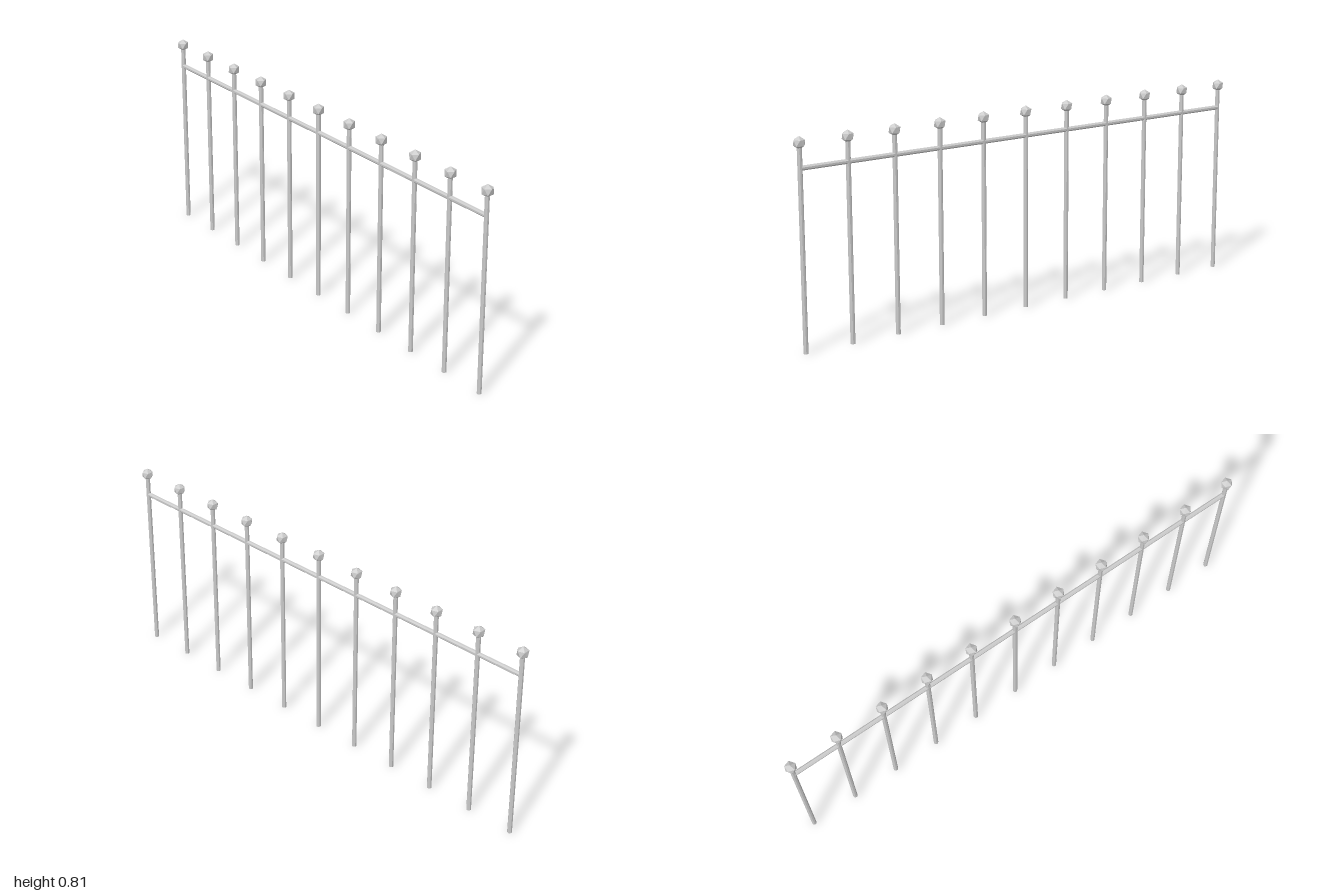
import * as THREE from 'three';

const POSTS = 11;
const END = 0.978; // z of the outermost posts
const ROD = 0.0092;
const KNOB = 0.0245;

export function createModel() {
  const model = new THREE.Group();
  model.name = 'fence';
  const mat = new THREE.MeshStandardMaterial({ color: 0xcccccc, flatShading: true });

  const add = (geometry, name, x, y, z) => {
    const mesh = new THREE.Mesh(geometry, mat);
    mesh.name = name;
    mesh.position.set(x, y, z);
    model.add(mesh);
  };

  // Upright rod and a faceted knob turned so that one corner points up
  const postGeo = new THREE.CylinderGeometry(ROD, ROD, 0.78, 8).rotateY(Math.PI / 8);
  const knobGeo = new THREE.IcosahedronGeometry(KNOB, 0)
    .rotateX(-Math.atan((1 + Math.sqrt(5)) / 2));

  // Row of posts, each with its knob
  for (let i = 0; i < POSTS; i++) {
    const z = -END + (2 * END * i) / (POSTS - 1);
    add(postGeo, 'post', 0, 0.39, z);
    add(knobGeo, 'knob', 0, 0.7825, z);
  }

  // Rail running through all posts
  const railGeo = new THREE.CylinderGeometry(ROD, ROD, 2 * END, 8)
    .rotateY(Math.PI / 8)
    .rotateX(Math.PI / 2);
  add(railGeo, 'rail', 0, 0.69, 0);

  return model;
}
